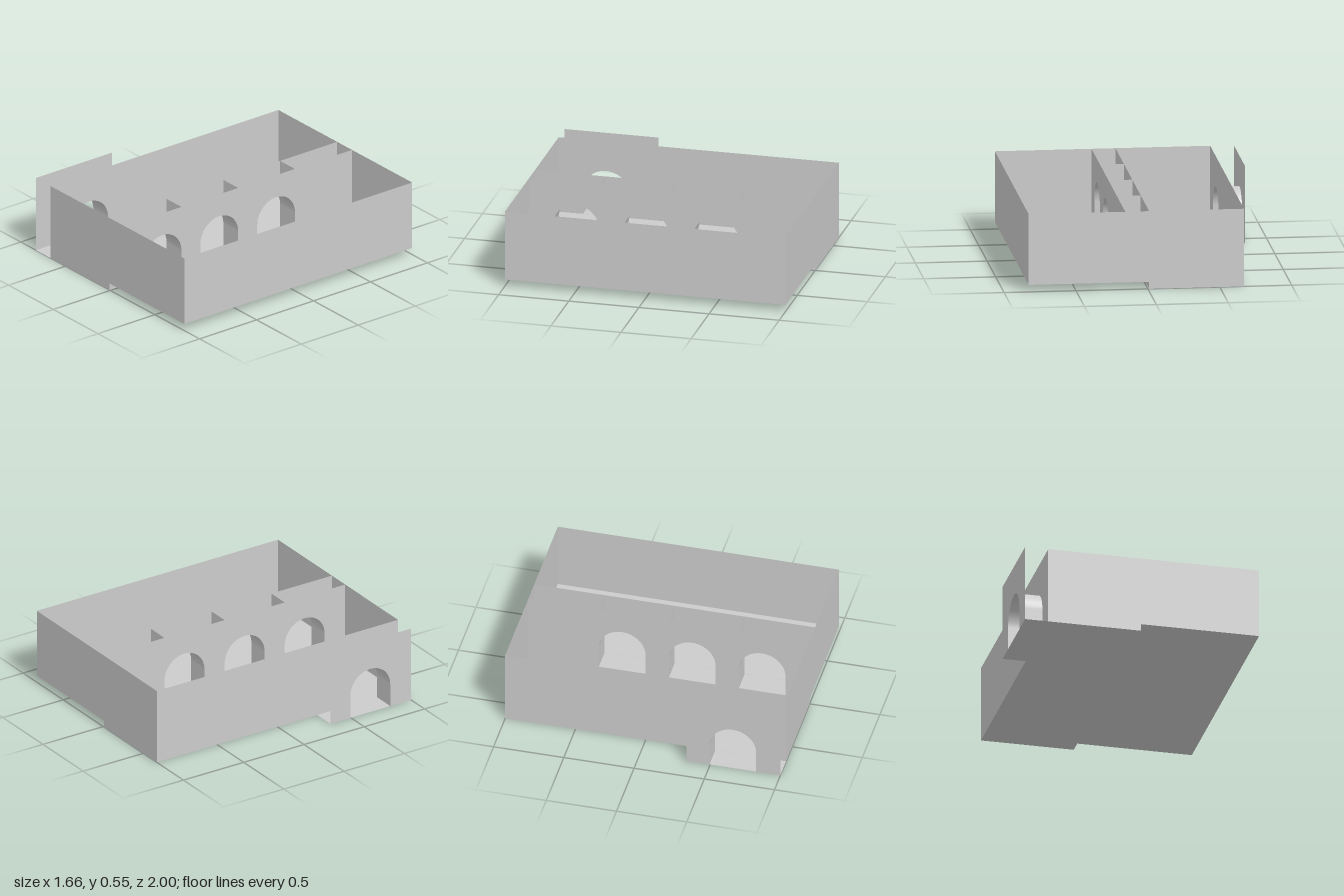
import * as THREE from 'three';

const TOP = 0.55, STEP = 0.05;                 // wall top, raised floor level
const X = { porch: -0.832, right: -0.668, mid: -0.009, arcade: 0.157, left: 0.829 };
const R = 0.166, SPRING = 0.167;               // arch radius and jamb height

const material = new THREE.MeshStandardMaterial({ color: 0xcccccc, side: THREE.DoubleSide });

function add(parent, name, geometry) {
  const mesh = new THREE.Mesh(geometry, material);
  mesh.name = name;
  parent.add(mesh);
  return mesh;
}

// Thin wall in a plane of constant x, with arched openings centred on the given z
function sideWall(parent, name, x, z0, z1, y0, archBase, archZs) {
  const shape = new THREE.Shape();
  shape.moveTo(z0, y0).lineTo(z1, y0).lineTo(z1, TOP).lineTo(z0, TOP).closePath();
  for (const z of archZs) {
    const base = archBase + 0.0005;
    const hole = new THREE.Path();
    hole.moveTo(z - R, base).lineTo(z + R, base).lineTo(z + R, archBase + SPRING);
    hole.absarc(z, archBase + SPRING, R, 0, Math.PI, false);
    hole.closePath();
    shape.holes.push(hole);
  }
  const geometry = new THREE.ShapeGeometry(shape, 24).rotateY(-Math.PI / 2);
  add(parent, name, geometry).position.x = x;
}

// Thin wall in a plane of constant z
function crossWall(parent, name, z, x0, x1, y0, y1) {
  add(parent, name, new THREE.PlaneGeometry(x1 - x0, y1 - y0))
    .position.set((x0 + x1) / 2, (y0 + y1) / 2, z);
}

function floor(parent, name, y, x0, x1, z0, z1) {
  add(parent, name, new THREE.PlaneGeometry(x1 - x0, z1 - z0).rotateX(-Math.PI / 2))
    .position.set((x0 + x1) / 2, y, (z0 + z1) / 2);
}

// Jambs and half-round vault joining two arched walls
function passage(parent, name, x0, x1, z, base, backTop) {
  const group = new THREE.Group();
  group.name = name;
  parent.add(group);
  crossWall(group, 'frontJamb', z + R, x0, x1, base, base + SPRING);
  crossWall(group, 'backJamb', z - R, x0, x1, base, backTop);
  const vault = new THREE.CylinderGeometry(R, R, x1 - x0, 32, 1, true, 0, Math.PI);
  add(group, 'vault', vault.rotateZ(Math.PI / 2)).position.set((x0 + x1) / 2, base + SPRING, z);
}

export function createModel() {
  const model = new THREE.Group();
  model.name = 'arcadedRooms';
  const arches = [-0.333, 0.166, 0.664], doorZ = 0.661;

  // Floors: low room with porch, and raised room
  floor(model, 'lowFloor', 0, X.right, X.mid, -1, 1);
  floor(model, 'porchFloor', 0, X.porch, X.right, 0.33, 1);
  floor(model, 'raisedFloor', STEP, X.mid, X.left, -1, 1);

  // End walls, stepped underneath
  for (const [name, z] of [['front', 1], ['back', -1]]) {
    crossWall(model, name + 'LowWall', z, X.right, X.mid, 0, TOP);
    crossWall(model, name + 'ArcadeWall', z, X.mid, X.arcade, STEP, TOP);
    crossWall(model, name + 'RaisedWall', z, X.arcade, X.left, STEP, TOP);
  }

  // Long walls
  sideWall(model, 'leftWall', X.left, -1, 1, STEP, STEP, []);
  sideWall(model, 'arcadeLeftWall', X.arcade, -1, 1, STEP, STEP, arches);
  sideWall(model, 'arcadeRightWall', X.mid, -1, 1, 0, STEP, arches);
  sideWall(model, 'rightWall', X.right, -1, 1, 0, 0, [doorZ]);
  sideWall(model, 'porchWall', X.porch, 0.33, 1, 0, 0, [doorZ]);

  // Vaulted passages
  for (const z of arches) passage(model, 'arcadePassage', X.mid, X.arcade, z, STEP, TOP);
  passage(model, 'porchPassage', X.porch, X.right, doorZ, 0, SPRING);

  return model;
}
